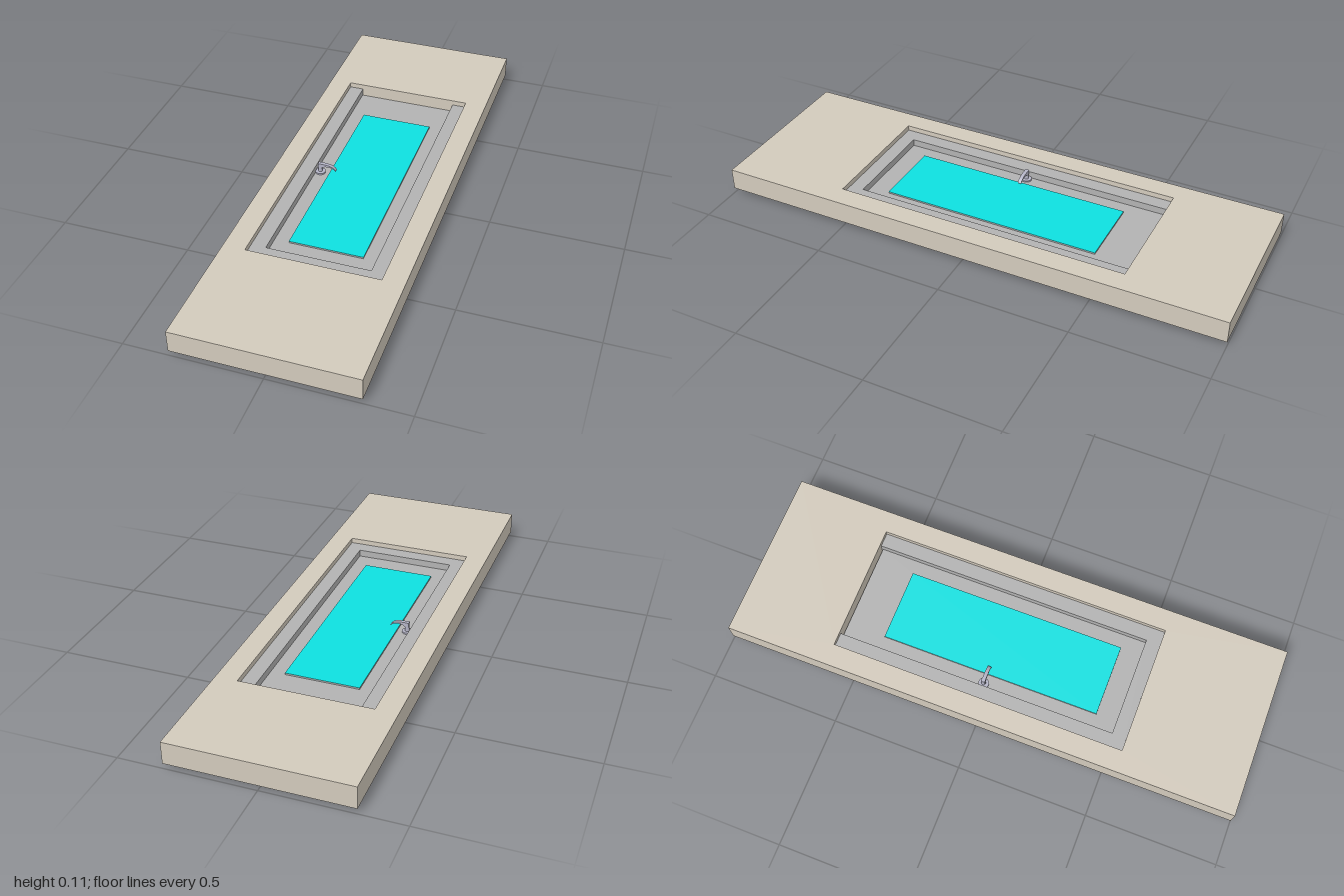
import * as THREE from 'three';

const mat = (color) => new THREE.MeshStandardMaterial({ color });

export function createModel() {
  const model = new THREE.Group();
  const beige = mat(0xd2cabc), grey = mat(0xb2b2b2), cyan = mat(0x0de0e0), metal = mat(0xb4b4c6);

  const add = (parent, name, geometry, material) => {
    const mesh = new THREE.Mesh(geometry, material);
    mesh.name = name;
    parent.add(mesh);
    return mesh;
  };
  // Box given by its limits on each axis
  const box = (name, x0, x1, y0, y1, z0, z1, material) =>
    add(model, name, new THREE.BoxGeometry(x1 - x0, y1 - y0, z1 - z0), material)
      .position.set((x0 + x1) / 2, (y0 + y1) / 2, (z0 + z1) / 2);
  // Outline in plan; the shape's y becomes -z once laid flat
  const flat = (points, depth, y) => {
    const g = new THREE.ExtrudeGeometry(points, { depth, bevelEnabled: false });
    return g.rotateX(-Math.PI / 2).translate(0, y, 0);
  };
  const polygon = (pts) => pts.map(([x, z]) => new THREE.Vector2(x, -z));

  // Wall lying flat, with the door opening
  const wall = new THREE.Shape(polygon([[-0.333, 1], [0.333, 1], [0.333, -1], [-0.333, -1]]));
  wall.holes.push(new THREE.Path(polygon([[-0.25, 0.545], [-0.25, -0.6], [0.25, -0.6], [0.25, 0.545]])));
  add(model, 'wall', flat(wall, 0.085, 0.02), beige);

  // Three-sided door frame, open at the threshold
  const frame = new THREE.Shape(polygon([
    [-0.25, -0.6], [-0.25, 0.545], [0.25, 0.545], [0.25, -0.6],
    [0.195, -0.6], [0.195, 0.49], [-0.195, 0.49], [-0.195, -0.6],
  ]));
  add(model, 'doorFrame', flat(frame, 0.045, 0.04), grey);

  // Door leaf with a raised, glazed panel on both faces
  box('doorLeaf', -0.195, 0.195, 0.04, 0.058, -0.595, 0.49, grey);
  box('panelSurround', -0.14, 0.14, 0.034, 0.064, -0.445, 0.41, grey);
  for (const y of [0.0335, 0.0635]) box('glass', -0.14, 0.14, y, y + 0.001, -0.445, 0.41, cyan);

  // Lever handles, one on each face
  const lever = new THREE.Shape();
  lever.moveTo(-0.007, 0.05);
  lever.lineTo(0.012, 0.05);
  lever.bezierCurveTo(0.035, 0.05, 0.058, 0.046, 0.065, 0.029);
  lever.lineTo(0.06, 0.031);
  lever.bezierCurveTo(0.052, 0.042, 0.02, 0.046, 0.008, 0.032);
  lever.lineTo(-0.007, 0.032);
  for (const side of [1, -1]) {
    const handle = new THREE.Group();
    handle.name = side > 0 ? 'upperHandle' : 'lowerHandle';
    handle.position.set(-0.178, 0.05, -0.025);
    if (side < 0) handle.rotation.x = Math.PI;
    add(handle, 'rosette', new THREE.CylinderGeometry(0.02, 0.02, 0.006, 32), metal).position.y = 0.011;
    add(handle, 'stem', new THREE.CylinderGeometry(0.008, 0.008, 0.042, 24), metal).position.y = 0.029;
    const grip = new THREE.ExtrudeGeometry(lever, { depth: 0.014, bevelEnabled: false, curveSegments: 16 });
    add(handle, 'lever', grip.translate(0, 0, -0.007), metal);
    model.add(handle);
  }
  return model;
}
